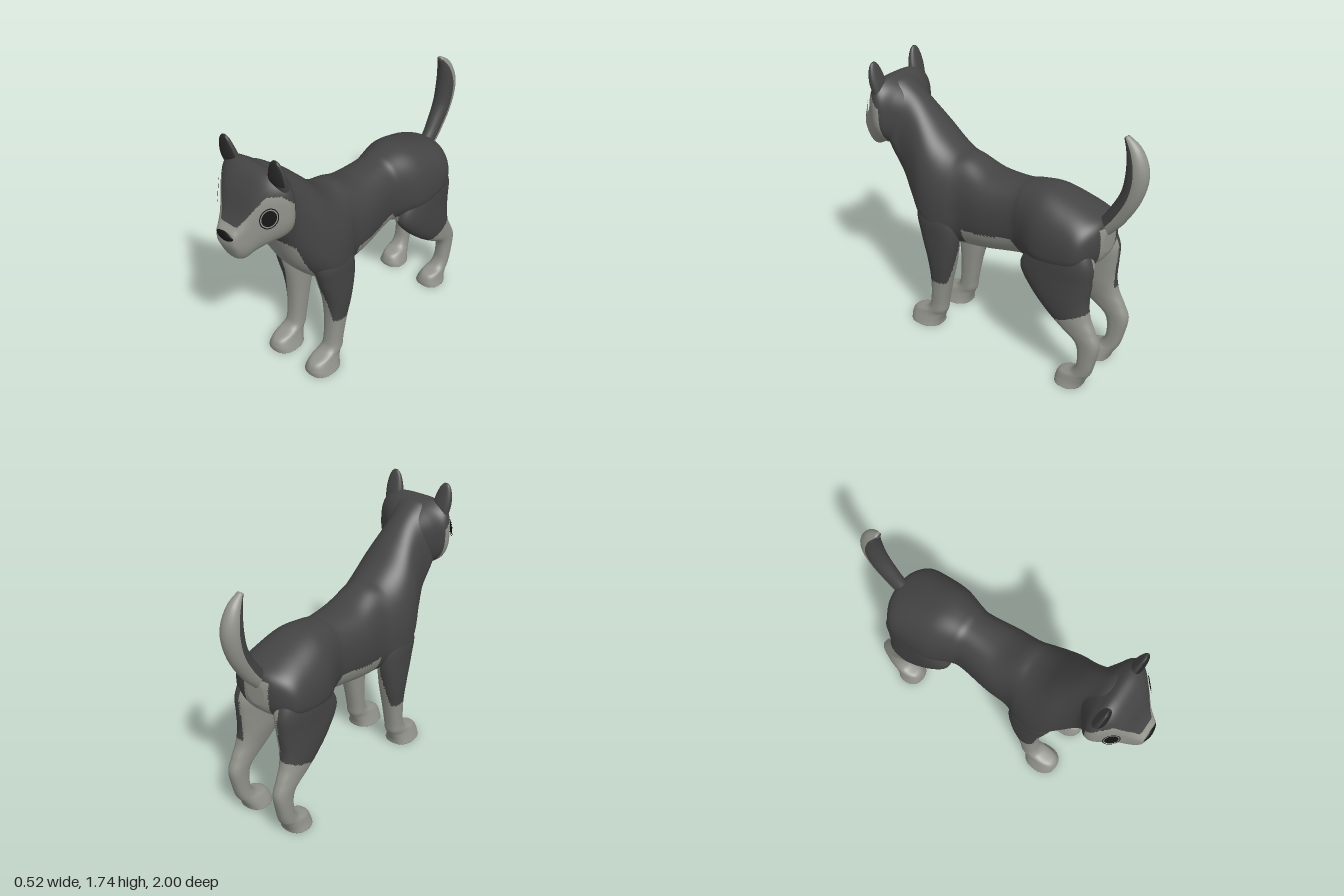
import * as THREE from 'three';

const material = (name, color, extra = {}) => {
  const m = new THREE.MeshStandardMaterial({ color, ...extra });
  m.name = name;
  return m;
};

// Smoothly resample a table of cross-sections (each row is a list of numbers)
function resample(rows, steps) {
  const out = [];
  const at = (i) => rows[Math.max(0, Math.min(rows.length - 1, i))];
  for (let i = 0; i < rows.length - 1; i++) {
    for (let k = 0; k < steps; k++) {
      const t = k / steps;
      out.push(rows[i].map((b, c) => {
        const a = at(i - 1)[c], d = at(i + 1)[c], e = at(i + 2)[c];
        return b + 0.5 * t * (d - a + t * (2 * a - 5 * b + 4 * d - e + t * (3 * (b - d) + e - a)));
      }));
    }
  }
  out.push(rows[rows.length - 1]);
  return out;
}

// Skin a list of rings, cap both ends, and sort the faces by colour.
// pick(centre, angle) returns an index into materials.
function loft(name, rings, materials, pick) {
  const n = rings[0].length, pos = [], buckets = materials.map(() => []);
  const points = rings.flat();
  const face = (a, b, c, angle) => {
    const mid = points[a].clone().add(points[b]).add(points[c]).divideScalar(3);
    buckets[pick(mid, angle)].push(a, b, c);
  };
  const centre = (ring) => ring.reduce((s, p) => s.add(p), new THREE.Vector3()).divideScalar(n);
  const first = points.push(centre(rings[0])) - 1;
  const last = points.push(centre(rings[rings.length - 1])) - 1;
  const end = (rings.length - 1) * n;
  for (let j = 0; j < n; j++) {
    const k = (j + 1) % n, angle = ((j + 0.5) / n) * Math.PI * 2;
    for (let i = 0; i < rings.length - 1; i++) {
      const r = i * n, s = r + n;
      face(r + j, r + k, s + k, angle);
      face(r + j, s + k, s + j, angle);
    }
    face(first, k, j, angle);
    face(last, end + j, end + k, angle);
  }
  points.forEach((p) => pos.push(p.x, p.y, p.z));
  const geo = new THREE.BufferGeometry();
  geo.setAttribute('position', new THREE.Float32BufferAttribute(pos, 3));
  geo.setIndex(buckets.flat());
  let start = 0;
  buckets.forEach((b, i) => {
    if (b.length) geo.addGroup(start, b.length, i);
    start += b.length;
  });
  geo.computeVertexNormals();
  const mesh = new THREE.Mesh(geo, materials);
  mesh.name = name;
  return mesh;
}

const angles = (n) => Array.from({ length: n }, (_, j) => (j / n) * Math.PI * 2);
const power = (v, p) => Math.sign(v) * Math.abs(v) ** p;

// Upright sections, rows of [z, top, bottom, halfWidth, heightOfWidestPoint, roundness of the top]
const uprightRings = (rows, steps, n) =>
  resample(rows, steps).map(([z, top, bottom, w, mid, pTop]) => angles(n).map((a) => {
    const s = Math.sin(a), p = s > 0 ? pTop : 0.86;
    return new THREE.Vector3(w * power(Math.cos(a), p),
      mid + (s > 0 ? top - mid : mid - bottom) * power(s, p), z);
  }));

// Level sections going down, rows of [y, z, halfDepth, x, halfWidth]
const levelRings = (rows, steps, n, side) =>
  resample(rows, steps).map(([y, z, rz, x, rx]) => angles(n).map((a) =>
    new THREE.Vector3(side * x + rx * power(Math.cos(a), 0.85), y, z + rz * power(Math.sin(a), 0.85))));

export function createModel() {
  const dark = material('dark coat', 0x444444);
  const light = material('light coat', 0x90928a);
  const black = material('black', 0x141414, { side: THREE.DoubleSide });
  const inner = material('inner ear', 0x282828);
  const coat = [dark, light];
  const dog = new THREE.Group();
  dog.name = 'dog';

  // Torso and neck
  const torso = [
    [-0.79, 1.03, 0.88, 0.06, 0.96], [-0.765, 1.08, 0.83, 0.15, 0.95], [-0.7, 1.115, 0.78, 0.232, 0.91],
    [-0.58, 1.16, 0.74, 0.25, 0.88], [-0.42, 1.2, 0.715, 0.24, 0.88], [-0.28, 1.19, 0.705, 0.188, 0.94],
    [-0.2, 1.175, 0.69, 0.175, 0.94], [0, 1.175, 0.65, 0.2, 0.93], [0.15, 1.23, 0.63, 0.203, 0.9],
    [0.24, 1.245, 0.635, 0.235, 0.86], [0.33, 1.3, 0.65, 0.25, 0.85], [0.43, 1.4, 0.7, 0.235, 0.91],
    [0.53, 1.5, 0.81, 0.19, 1.05], [0.61, 1.565, 0.94, 0.168, 1.22], [0.68, 1.615, 1.08, 0.185, 1.36],
    [0.74, 1.62, 1.2, 0.18, 1.41],
  ].map((row) => [...row, 0.85]);
  dog.add(loft('torso', uprightRings(torso, 9, 88), coat, ({ x, y, z }) => {
    const w = Math.abs(x);
    if (z > 0.3) return w < 0.147 && y < 0.45 + z ? 1 : 0;
    if (z > 0.13) return w < 0.14 && y < 0.75 ? 1 : 0;
    if (z > -0.3) return y < Math.min(0.805 - Math.min(z, 0) * 0.17, 0.84 + (z + 0.22) * 1.3) ? 1 : 0;
    if (z < -0.74) return w < 0.09 && y < 1.05 ? 1 : 0;
    return w < 0.13 && y < 0.85 ? 1 : 0;
  }));

  // Head with a light face below a dark brow; the bridge of the muzzle is flat
  const head = [
    [0.6, 1.53, 1.26, 0.13, 1.4, 0.8], [0.645, 1.575, 1.22, 0.185, 1.41, 0.75], [0.69, 1.61, 1.195, 0.24, 1.415, 0.65],
    [0.74, 1.635, 1.185, 0.248, 1.415, 0.58], [0.8, 1.61, 1.17, 0.21, 1.4, 0.58], [0.86, 1.53, 1.14, 0.152, 1.36, 0.52],
    [0.91, 1.42, 1.115, 0.112, 1.3, 0.5], [0.95, 1.36, 1.14, 0.088, 1.27, 0.5], [0.98, 1.33, 1.21, 0.07, 1.265, 0.6],
    [0.99, 1.3, 1.25, 0.045, 1.27, 0.8],
  ];
  dog.add(loft('head', uprightRings(head, 9, 88), coat, ({ x, y, z }) => {
    const brow = 1.36 + Math.max(0, Math.abs(x) - 0.062) * 1.7;
    return z > 0.7 && y < Math.min(brow, 1.54, 1.47 + (z - 0.7)) ? 1 : 0;
  }));

  // Nose
  const nose = new THREE.Mesh(new THREE.SphereGeometry(1, 24, 14), black);
  nose.name = 'nose';
  nose.scale.set(0.073, 0.034, 0.034);
  nose.position.set(0, 1.298, 0.966);
  dog.add(nose);

  const frontLeg = [
    [1.02, 0.32, 0.06, 0.13, 0.05], [0.85, 0.33, 0.14, 0.155, 0.089], [0.7, 0.31, 0.138, 0.165, 0.083],
    [0.52, 0.3, 0.1, 0.165, 0.078], [0.36, 0.31, 0.072, 0.161, 0.067], [0.2, 0.33, 0.06, 0.16, 0.06],
    [0.13, 0.35, 0.07, 0.161, 0.062], [0.09, 0.41, 0.113, 0.16, 0.068], [0.045, 0.433, 0.118, 0.16, 0.083],
    [0.005, 0.437, 0.114, 0.16, 0.099],
  ];
  const hindLeg = [
    [1.05, -0.58, 0.08, 0.12, 0.06], [0.95, -0.57, 0.16, 0.14, 0.085], [0.84, -0.565, 0.215, 0.15, 0.094],
    [0.72, -0.54, 0.238, 0.156, 0.091], [0.6, -0.575, 0.195, 0.164, 0.084], [0.5, -0.635, 0.152, 0.173, 0.07],
    [0.42, -0.705, 0.122, 0.177, 0.058], [0.33, -0.785, 0.077, 0.178, 0.05], [0.2, -0.785, 0.055, 0.178, 0.05],
    [0.12, -0.757, 0.062, 0.175, 0.055], [0.085, -0.705, 0.095, 0.17, 0.066], [0.04, -0.68, 0.095, 0.165, 0.08],
    [0.005, -0.672, 0.09, 0.165, 0.092],
  ];
  const ear = [
    [1.742, 0.768, 0.006, 0.188, 0.014], [1.72, 0.766, 0.016, 0.187, 0.034], [1.67, 0.759, 0.026, 0.184, 0.052],
    [1.61, 0.748, 0.033, 0.179, 0.06], [1.54, 0.73, 0.03, 0.175, 0.055],
  ];

  for (const side of [1, -1]) {
    const label = side > 0 ? 'left' : 'right';
    // Legs: light socks and light inner sides
    dog.add(loft(`${label} front leg`, levelRings(frontLeg, 10, 48, side), coat, ({ x, y }) =>
      (y < 0.37 || (y < 0.8 && x * side < 0.15 + Math.max(0, 0.65 - y) * 0.17) ? 1 : 0)));
    dog.add(loft(`${label} hind leg`, levelRings(hindLeg, 10, 48, side), coat, ({ x, y, z }) =>
      (y < 0.44 - (z + 0.55) * 0.45 || (y < 0.9 && x * side < 0.145) ? 1 : 0)));

    // Ears with a darker front
    dog.add(loft(`${label} ear`, levelRings(ear, 5, 24, side), [dark, inner], ({ y }, a) =>
      (Math.sin(a) > 0.2 && y > 1.6 ? 1 : 0)));

    // Eyes: slanted ovals, a thin rim around a large pupil
    const eye = new THREE.Group();
    eye.name = `${label} eye`;
    const rim = new THREE.Mesh(new THREE.RingGeometry(0.9, 1, 36), black);
    rim.name = 'eye rim';
    const pupil = new THREE.Mesh(new THREE.CircleGeometry(0.78, 32), black);
    pupil.name = 'pupil';
    eye.add(rim, pupil);
    eye.scale.set(0.048, 0.064, 1);
    eye.position.set(side * 0.195, 1.425, 0.84);
    eye.rotation.set(-0.15, side * 0.75, -side * 0.5, 'YXZ');
    dog.add(eye);
  }

  // Tail: curved upward, dark in front and light behind. Rows of [y, z, halfDepth, halfWidth]
  const tail = resample([
    [1.0, -0.73, 0.05, 0.04], [1.05, -0.77, 0.055, 0.045], [1.13, -0.83, 0.06, 0.05],
    [1.27, -0.905, 0.063, 0.058], [1.415, -0.932, 0.067, 0.06], [1.535, -0.905, 0.048, 0.045],
    [1.615, -0.85, 0.014, 0.018],
  ], 6);
  const tailRings = tail.map(([y, z, rd, rw], i) => {
    const a = tail[Math.max(0, i - 1)], b = tail[Math.min(tail.length - 1, i + 1)];
    const len = Math.hypot(b[0] - a[0], b[1] - a[1]);
    const ty = (b[0] - a[0]) / len, tz = (b[1] - a[1]) / len;
    return angles(24).map((t) => new THREE.Vector3(
      rw * Math.cos(t), y + rd * Math.sin(t) * tz, z - rd * Math.sin(t) * ty));
  });
  dog.add(loft('tail', tailRings, coat, (p, a) => (Math.sin(a) > 0 ? 1 : 0)));

  return dog;
}
